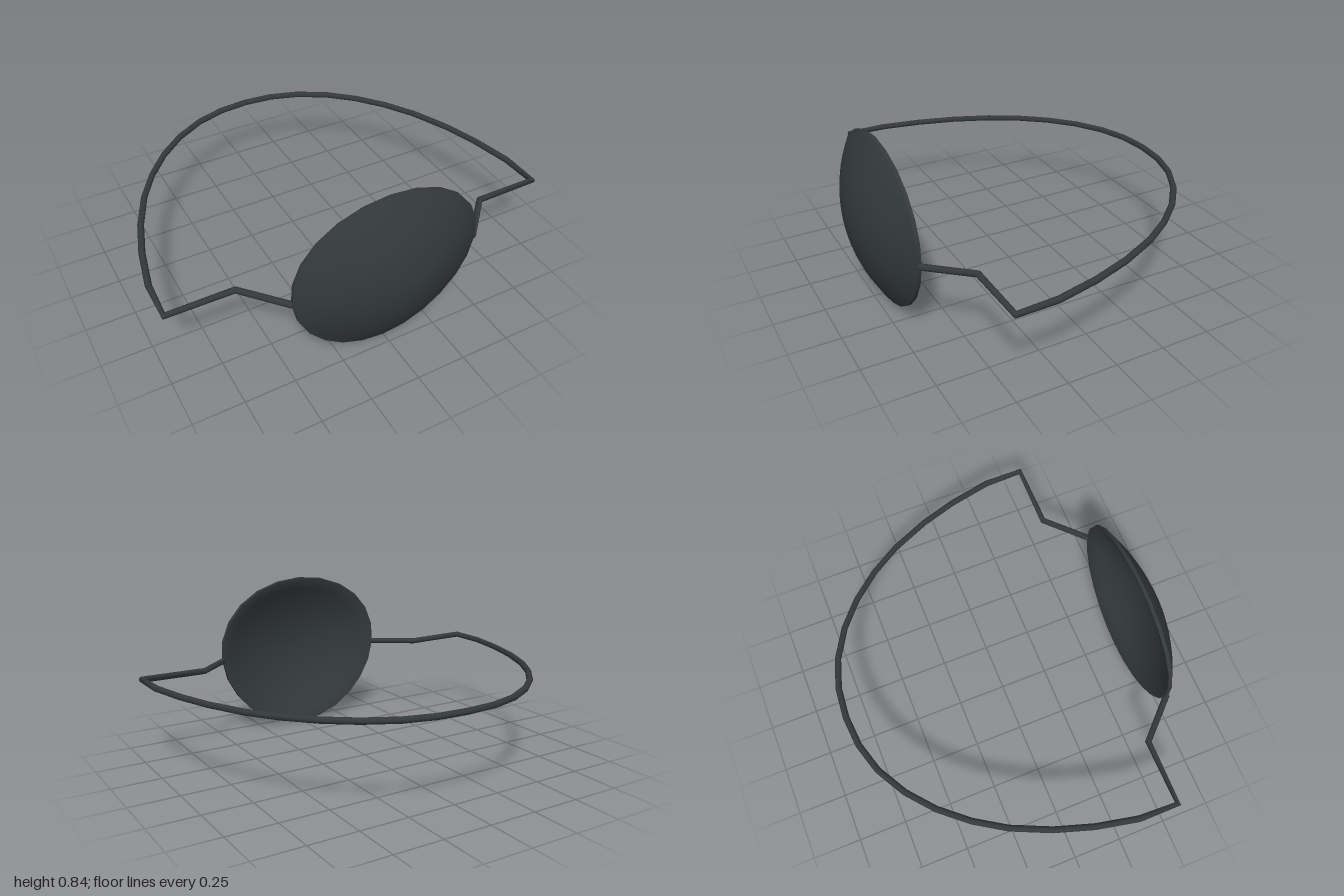
import * as THREE from 'three';
import { toCreasedNormals } from 'three/addons/utils/BufferGeometryUtils.js';

// Curve of straight segments, with the tangent at each corner bisecting the bend
class Polyline extends THREE.Curve {
  constructor(points) {
    super();
    this.points = points;
  }
  getPoint(t, target = new THREE.Vector3()) {
    const n = this.points.length - 1;
    const i = Math.min(Math.floor(t * n + 1e-6), n - 1);
    return target.lerpVectors(this.points[i], this.points[i + 1], t * n - i);
  }
  getPointAt(t, target) {
    return this.getPoint(t, target);
  }
  getTangentAt(t, target = new THREE.Vector3()) {
    const p = this.points, n = p.length - 1, i = Math.round(t * n);
    target.set(0, 0, 0);
    if (i > 0) target.add(p[i].clone().sub(p[i - 1]).normalize());
    if (i < n) target.add(p[i + 1].clone().sub(p[i]).normalize());
    return target.normalize();
  }
}

// Domed shell: a lathed lens warped to an egg-shaped outline
function patchGeometry() {
  const rings = 8, profile = [];
  for (let i = 0; i <= rings; i++) {
    const s = i / rings;
    profile.push(new THREE.Vector2(s * 0.975, 0.82 - 0.14 * s * s));
  }
  profile.push(new THREE.Vector2(1, 0.68));
  for (let i = rings; i >= 0; i--) {
    const s = i / rings;
    profile.push(new THREE.Vector2(s, 0.842 - 0.144 * s * s));
  }
  const geometry = new THREE.LatheGeometry(profile, 24);
  const pos = geometry.attributes.position;
  for (let i = 0; i < pos.count; i++) {
    const x = -pos.getX(i), y = pos.getZ(i), r = Math.hypot(x, y);
    const a = Math.atan2(x, y);
    pos.setXYZ(
      i,
      r * (0.48 * Math.sin(a) + 0.02 * Math.sin(2 * a)),
      0.42 + 0.42 * r * Math.cos(a),
      pos.getY(i)
    );
  }
  return toCreasedNormals(geometry, 0.6);
}

// Strap: one half of the path, mirrored about the back centre
function strapGeometry() {
  const half = [
    [0.475, 0.42, 0.69], [0.66, 0.432, 0.5], [0.988, 0.434, 0.5], [0.984, 0.437, 0.3],
    [0.94, 0.44, 0.09], [0.88, 0.443, -0.1], [0.795, 0.446, -0.29], [0.7, 0.449, -0.44],
    [0.585, 0.452, -0.575], [0.455, 0.455, -0.685], [0.305, 0.457, -0.77], [0.155, 0.459, -0.815]
  ];
  const left = half.map(p => new THREE.Vector3(...p));
  const right = half.map(([x, y, z]) => new THREE.Vector3(-x, y, z)).reverse();
  const path = [...left, new THREE.Vector3(0, 0.46, -0.828), ...right];
  return new THREE.TubeGeometry(new Polyline(path), path.length - 1, 0.016, 8, false);
}

export function createModel() {
  const group = new THREE.Group();
  const material = new THREE.MeshStandardMaterial({ color: 0x33393b, side: THREE.DoubleSide });

  const patch = new THREE.Mesh(patchGeometry(), material);
  patch.name = 'eyePatch';

  const strap = new THREE.Mesh(strapGeometry(), material);
  strap.name = 'headStrap';

  group.add(patch, strap);
  return group;
}
